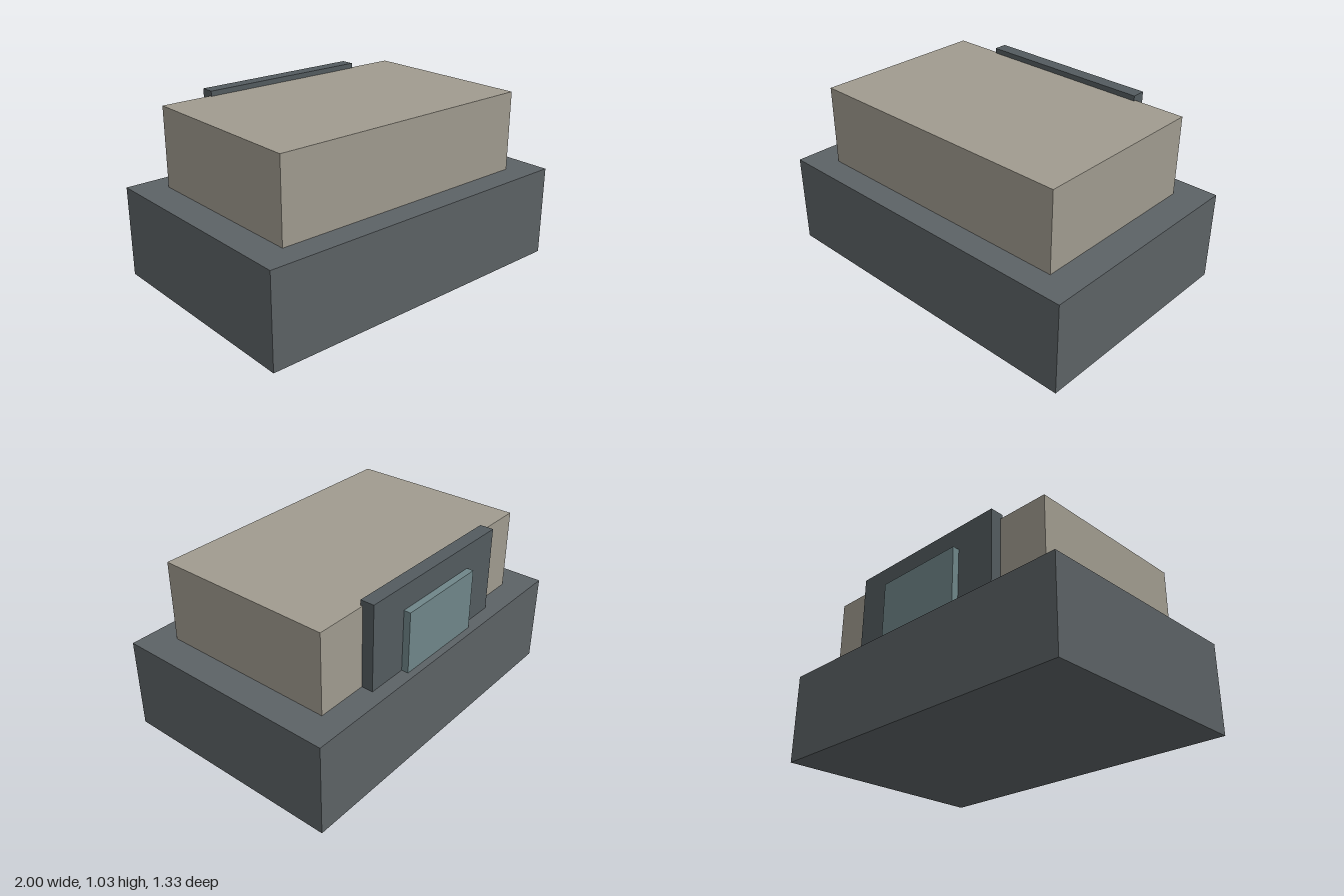
import * as THREE from 'three';

// Box spanning min to max corners
function block(name, color, [x0, y0, z0], [x1, y1, z1]) {
  const mesh = new THREE.Mesh(
    new THREE.BoxGeometry(x1 - x0, y1 - y0, z1 - z0),
    new THREE.MeshStandardMaterial({ color })
  );
  mesh.position.set((x0 + x1) / 2, (y0 + y1) / 2, (z0 + z1) / 2);
  mesh.name = name;
  return mesh;
}

export function createModel() {
  const model = new THREE.Group();
  model.name = 'building';
  const baseTop = 0.533;

  model.add(
    // Wide plinth with the smaller main volume on top
    block('base', 0x5c6265, [-1, 0, -0.667], [1, baseTop, 0.667]),
    block('upperBody', 0xa09b8f, [-0.82, baseTop, -0.52], [0.82, 1, 0.52]),
    // Rear entrance: frame slab rising just above the roof, and its door pane
    block('doorFrame', 0x535b5f, [-0.52, baseTop, -0.587], [0.52, 1.03, -0.507]),
    block('doorPane', 0x6f8689, [-0.28, baseTop, -0.627], [0.28, 0.89, -0.587])
  );
  return model;
}
